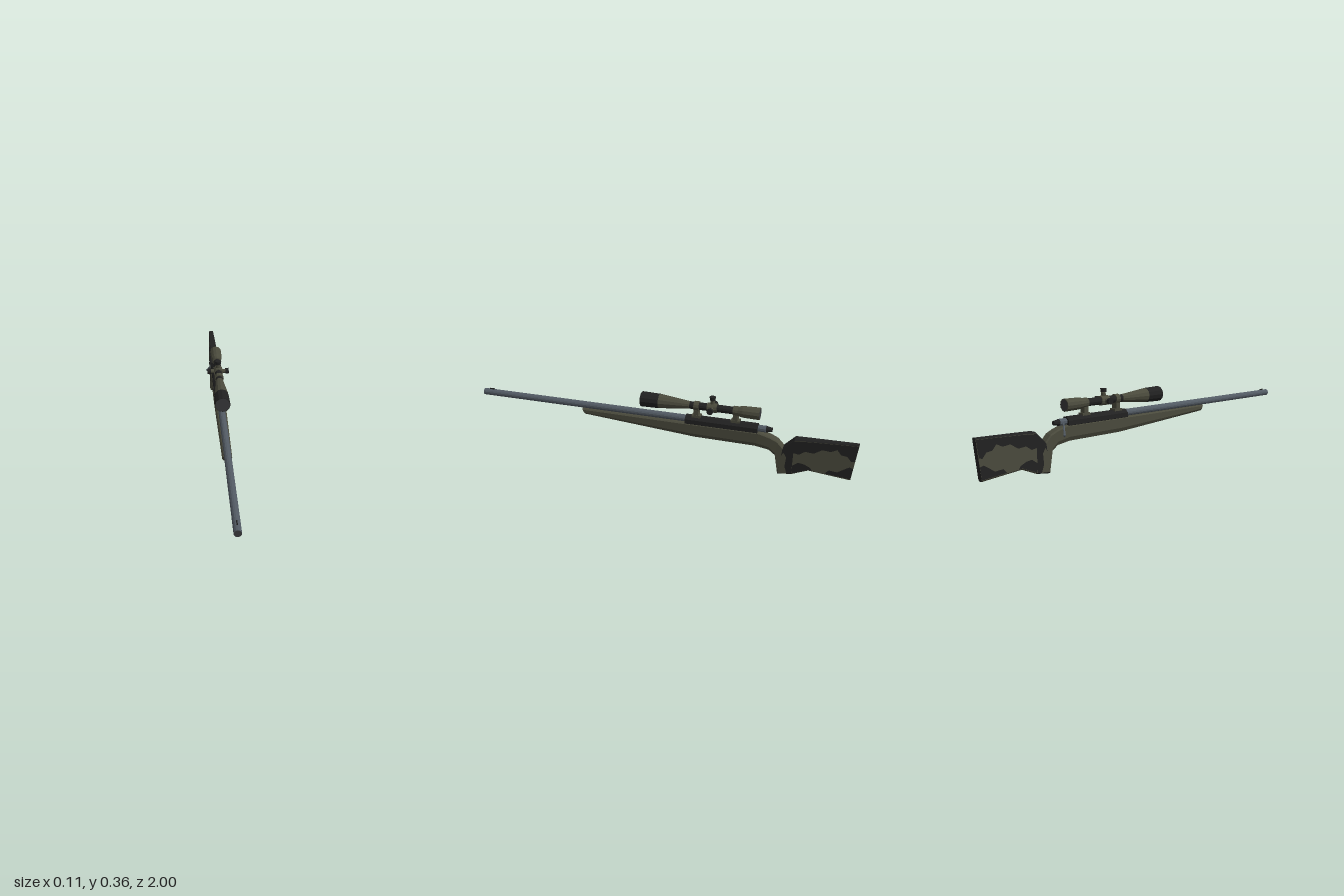
import * as THREE from 'three';

const mat = (name, color) => Object.assign(new THREE.MeshStandardMaterial({ color, flatShading: true }), { name });

export function createModel() {
  const olive = mat('olive', 0x4a4a3c);
  const black = mat('charcoal', 0x212121);
  const steel = mat('blued steel', 0x525a63);
  const glass = mat('dark glass', 0x37383a);
  const model = new THREE.Group();
  model.name = 'rifle';

  const add = (name, geo, material, x = 0, y = 0, z = 0, parent = model) => {
    const m = new THREE.Mesh(geo, material);
    m.name = name;
    m.position.set(x, y, z);
    parent.add(m);
    return m;
  };
  // cylinder lying along z, running from zBack to zFront
  const rod = (name, rFront, rBack, zFront, zBack, y, material, sides = 12) =>
    add(name, new THREE.CylinderGeometry(rFront, rBack, zFront - zBack, sides).rotateX(Math.PI / 2),
      material, 0, y, (zFront + zBack) / 2);

  // half width of the stock along z
  const widths = [[0.42, 0.023], [0.2, 0.026], [-0.15, 0.028], [-0.52, 0.028], [-0.6, 0.0245], [-0.69, 0.0245], [-1, 0.013]];
  const halfWidth = (z) => {
    for (let i = 1; i < widths.length; i++) {
      const [z0, w0] = widths[i - 1], [z1, w1] = widths[i];
      if (z >= z1) return w0 + (w1 - w0) * Math.max(0, (z0 - z) / (z0 - z1));
    }
    return widths[widths.length - 1][1];
  };

  // stock stations: bottom z, bottom y, top z, top y, bottom chamfer
  const stations = [
    [0.405, 0.183, 0.42, 0.213, 0.01],
    [-0.19, 0.14, -0.15, 0.213, 0.02],
    [-0.5, 0.137, -0.52, 0.213, 0.02],
    [-0.57, 0.125, -0.575, 0.196, 0.018],
    [-0.602, 0.1, -0.61, 0.18, 0.014],
    [-0.62, 0, -0.64, 0.148, 0.006],
    [-0.69, 0.008, -0.695, 0.203, 0.006],
    [-0.77, 0.04, -0.775, 0.206, 0.006],
    [-0.975, 0.018, -1, 0.213, 0.006],
  ];
  const section = ([zb, yb, zt, yt, c]) => {
    const h = yt - yb, ct = 0.006;
    return [[0.65, 0], [1, c / h], [1, 1 - ct / h], [0.75, 1], [-0.75, 1], [-1, 1 - ct / h], [-1, c / h], [-0.65, 0]]
      .map(([s, t]) => {
        const z = zb + (zt - zb) * t;
        return [s * halfWidth(z), yb + h * t, z];
      });
  };
  const rings = stations.map(section);
  const faces = [[], []]; // olive, charcoal
  const tri = (dark, ...pts) => pts.forEach((p) => faces[dark].push(...p));
  for (let i = 0; i < rings.length - 1; i++) {
    for (let j = 0; j < 8; j++) {
      const k = (j + 1) % 8;
      const a = rings[i][j], b = rings[i][k], c = rings[i + 1][k], d = rings[i + 1][j];
      const top = j >= 2 && j <= 4;
      const dark = (i >= 5 && top) || (i >= 4 && j === 7) || (i === 5 && !top) ? 1 : 0;
      tri(dark, a, c, b);
      tri(dark, a, d, c);
    }
  }
  const first = rings[0], last = rings[rings.length - 1];
  for (let j = 1; j < 7; j++) {
    tri(0, first[0], first[j], first[j + 1]);
    tri(1, last[0], last[j + 1], last[j]);
  }
  const stock = new THREE.BufferGeometry();
  stock.setAttribute('position', new THREE.Float32BufferAttribute([...faces[0], ...faces[1]], 3));
  stock.addGroup(0, faces[0].length / 3, 0);
  stock.addGroup(faces[0].length / 3, faces[1].length / 3, 1);
  stock.computeVertexNormals();
  add('stock', stock, [olive, black]);

  // camouflage patches on both flat sides of the butt and grip: [z, y] outlines
  const patch = (name, pts, material, lift) => {
    const pts2 = pts.map(([z, y]) => new THREE.Vector2(z, y));
    for (const side of [1, -1]) {
      const g = new THREE.ShapeGeometry(new THREE.Shape(pts2));
      const p = g.attributes.position;
      for (let i = 0; i < p.count; i++) {
        const z = p.getX(i);
        p.setXYZ(i, side * (halfWidth(z) + lift), p.getY(i), z);
      }
      // outward winding on each side
      if (side === 1) g.setIndex([...g.index.array].reverse());
      g.computeVertexNormals();
      add(name, g, material);
    }
  };
  patch('cheekPatch', [[-0.692, 0.194], [-0.692, 0.13], [-0.72, 0.125], [-0.75, 0.145], [-0.79, 0.14], [-0.83, 0.165], [-0.87, 0.16], [-0.9, 0.175], [-0.9, 0.203], [-0.775, 0.199]], black, 0.001);
  patch('rearTopPatch', [[-0.9, 0.203], [-0.9, 0.175], [-0.92, 0.15], [-0.95, 0.145], [-0.97, 0.12], [-0.987, 0.125], [-0.998, 0.206]], black, 0.001);
  patch('lowerPatch', [[-0.692, 0.016], [-0.692, 0.06], [-0.72, 0.08], [-0.75, 0.075], [-0.78, 0.06], [-0.79, 0.046], [-0.77, 0.047]], black, 0.001);
  patch('rearLowerPatch', [[-0.85, 0.04], [-0.87, 0.06], [-0.91, 0.055], [-0.94, 0.075], [-0.965, 0.09], [-0.983, 0.085], [-0.976, 0.026]], black, 0.001);
  patch('gripPatch', [[-0.623, 0.008], [-0.632, 0.1], [-0.645, 0.125], [-0.66, 0.1], [-0.655, 0.05], [-0.668, 0.011]], olive, 0.001);

  // barrel, muzzle and sight
  rod('barrel', 0.0175, 0.0175, 1, -0.14, 0.229, steel, 14);
  add('muzzleFace', new THREE.CircleGeometry(0.0165, 14), glass, 0, 0.229, 1.0005);
  add('frontSight', new THREE.BoxGeometry(0.005, 0.007, 0.025), black, 0, 0.248, 0.955);

  // receiver and bolt
  const receiver = rod('receiver', 0.029, 0.029, -0.14, -0.51, 0.222, black, 8);
  receiver.rotation.z = Math.PI / 8;
  rod('bolt', 0.017, 0.017, -0.5, -0.55, 0.227, steel, 10);
  rod('boltShroud', 0.016, 0.011, -0.55, -0.58, 0.227, black, 10);
  const from = new THREE.Vector3(-0.012, 0.222, -0.53), to = new THREE.Vector3(-0.045, 0.172, -0.55);
  add('boltHandle', new THREE.TubeGeometry(new THREE.LineCurve3(from, to), 1, 0.005, 6), steel);
  add('boltKnob', new THREE.OctahedronGeometry(0.009), steel, to.x, to.y, to.z);

  // scope body in sections: name, front radius, back radius, front z, back z, colour
  const axis = 0.304;
  [
    ['scopeBell', 0.039, 0.037, 0.095, 0.0, black],
    ['scopeTaper', 0.037, 0.019, 0.0, -0.16, olive],
    ['scopeTube', 0.019, 0.019, -0.16, -0.25, black],
    ['turretHousing', 0.024, 0.024, -0.25, -0.3, olive],
    ['scopeRearTube', 0.019, 0.019, -0.3, -0.385, black],
    ['eyepieceTaper', 0.019, 0.029, -0.385, -0.43, olive],
    ['eyepiece', 0.029, 0.031, -0.43, -0.515, olive],
  ].forEach(([name, rf, rb, zf, zb, m]) => rod(name, rf, rb, zf, zb, axis, m));
  add('frontLens', new THREE.CircleGeometry(0.037, 12), glass, 0, axis, 0.0955);
  add('rearLens', new THREE.CircleGeometry(0.028, 12).rotateY(Math.PI), glass, 0, axis, -0.5155);

  // turrets on top and both sides
  for (const angle of [0, Math.PI / 2, -Math.PI / 2]) {
    const turret = new THREE.Group();
    turret.name = 'turret';
    turret.position.set(0, axis, -0.275);
    turret.rotation.z = angle;
    add('turretNeck', new THREE.CylinderGeometry(0.011, 0.011, 0.03, 10), olive, 0, 0.025, 0, turret);
    add('turretKnob', new THREE.CylinderGeometry(0.016, 0.014, 0.018, 12), black, 0, angle ? 0.047 : 0.05, 0, turret);
    model.add(turret);
  }

  // scope mounts
  for (const z of [-0.195, -0.395]) {
    rod('mountRing', 0.024, 0.024, z + 0.013, z - 0.013, axis, olive);
    add('mountPost', new THREE.BoxGeometry(0.032, 0.04, 0.024), olive, 0, 0.266, z);
    add('mountBase', new THREE.BoxGeometry(0.036, 0.012, 0.045), olive, 0, 0.251, z);
  }
  return model;
}
